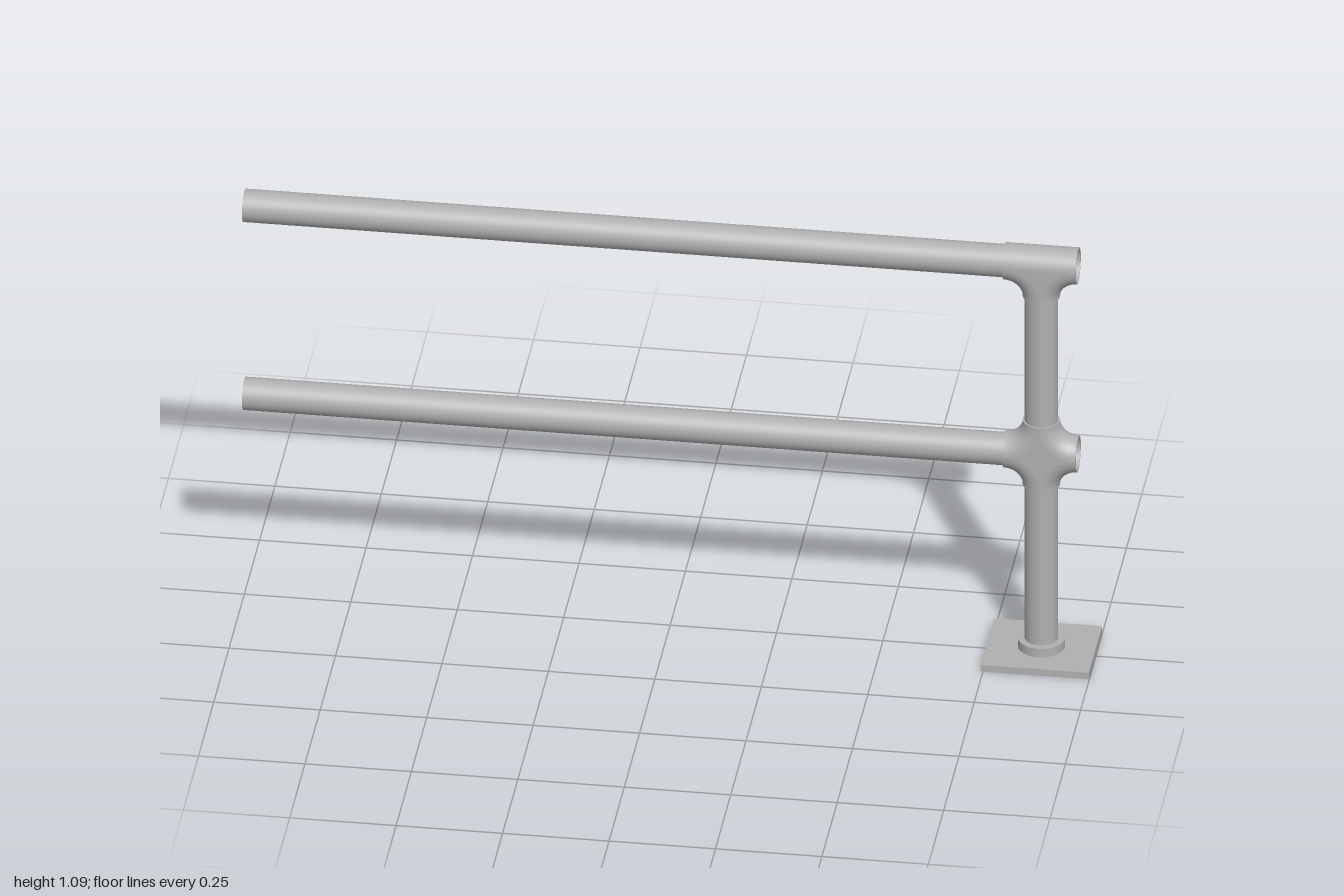
import * as THREE from 'three';

const POST_X = 0.872, TOP_Y = 1.049, MID_Y = 0.542;
const PIPE = 0.039, FIT = 0.0435, REACH = 0.0865; // pipe radius, fitting radius, fitting arm length

export function createModel() {
  const model = new THREE.Group();
  const steel = new THREE.MeshStandardMaterial({ color: 0xb0b0b0, side: THREE.DoubleSide });
  steel.name = 'galvanised steel';

  const add = (parent, name, geometry, x = 0, y = 0, z = 0) => {
    const mesh = new THREE.Mesh(geometry, steel);
    mesh.name = name;
    mesh.position.set(x, y, z);
    parent.add(mesh);
    return mesh;
  };

  // Open pipe, upright by default
  const pipe = (radius, length) => new THREE.CylinderGeometry(radius, radius, length, 32, 1, true);

  // Pipe fitting: filleted corners swept between neighbouring arms, closed by flat cheeks
  const fitting = (name, y, corners, arms) => {
    const group = new THREE.Group();
    group.name = name;
    group.position.set(POST_X, y, 0);
    model.add(group);

    const profile = [];
    for (let i = 0; i <= 16; i++) {
      const a = -Math.PI / 2 + (i / 16) * Math.PI;
      profile.push(new THREE.Vector2(REACH - FIT * Math.cos(a), FIT * Math.sin(a)));
    }
    const cheek = new THREE.Shape();
    corners.forEach((k, i) => {
      const turn = (k * Math.PI) / 2;
      const corner = new THREE.LatheGeometry(profile, 14, 1.5 * Math.PI, Math.PI / 2);
      corner.rotateX(Math.PI / 2).translate(REACH, REACH, 0).rotateZ(turn);
      add(group, 'filletCorner', corner);

      const px = REACH * (k === 0 || k === 3 ? 1 : -1);
      const py = REACH * (k < 2 ? 1 : -1);
      if (i === 0) cheek.moveTo(REACH * Math.cos(turn), REACH * Math.sin(turn));
      cheek.absarc(px, py, REACH, 1.5 * Math.PI + turn, Math.PI + turn, true);
    });
    add(group, 'frontCheek', new THREE.ShapeGeometry(cheek, 14), 0, 0, FIT);
    add(group, 'backCheek', new THREE.ShapeGeometry(cheek, 14).rotateY(Math.PI), 0, 0, -FIT);

    // Thin rims at the mouth of each arm
    for (const k of arms) {
      const rim = new THREE.RingGeometry(PIPE, FIT, 32);
      rim.rotateY(Math.PI / 2).translate(REACH, 0, 0).rotateZ((k * Math.PI) / 2);
      add(group, 'rim', rim);
    }
    return group;
  };

  // Base flange
  add(model, 'basePlate', new THREE.BoxGeometry(0.254, 0.018, 0.216), POST_X, 0.009, 0);
  add(model, 'baseCollar', new THREE.CylinderGeometry(0.055, 0.055, 0.024, 32), POST_X, 0.029, 0);

  // Post runs through the cross fitting into the neck of the tee
  add(model, 'post', pipe(PIPE, 0.96), POST_X, 0.5, 0);

  // Hollow rails
  const railEnd = POST_X + REACH;
  for (const [name, y] of [['topRail', TOP_Y], ['midRail', MID_Y]]) {
    add(model, name, pipe(PIPE, railEnd + 1).rotateZ(Math.PI / 2), (railEnd - 1) / 2, y, 0);
  }

  // Cross at the middle, tee at the top
  fitting('crossFitting', MID_Y, [0, 1, 2, 3], [0, 1, 2, 3]);
  const tee = fitting('teeFitting', TOP_Y, [2, 3], [0, 2, 3]);
  const cap = new THREE.CylinderGeometry(FIT, FIT, 2 * REACH, 20, 1, true, 0, Math.PI);
  add(tee, 'teeTop', cap.rotateZ(Math.PI / 2));

  return model;
}
